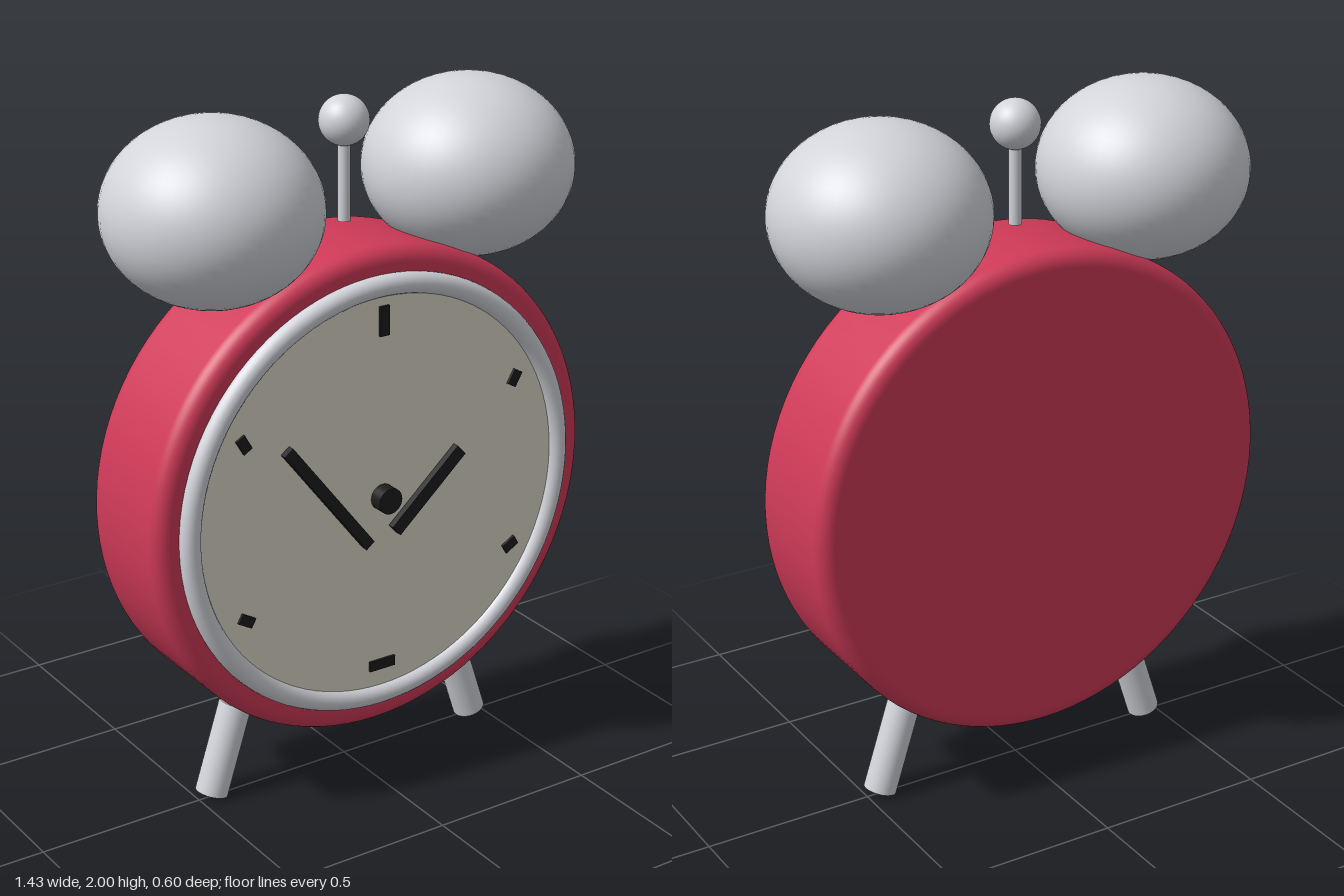
import * as THREE from 'three';

const mat = (name, color) => {
  const m = new THREE.MeshStandardMaterial({ color });
  m.name = name;
  return m;
};

export function createModel() {
  const red = mat('crimson enamel', 0xcf3a58);
  const metal = mat('silver metal', 0xd2d4da);
  const cream = mat('cream dial', 0xdedaca);
  const black = mat('black', 0x1c1c1c);
  const clock = new THREE.Group();
  clock.name = 'alarmClock';

  const add = (name, geometry, material, x, y, z, parent = clock) => {
    const mesh = new THREE.Mesh(geometry, material);
    mesh.name = name;
    mesh.position.set(x, y, z);
    parent.add(mesh);
    return mesh;
  };

  // Drum body with rounded rims, turned about the z axis
  const R = 0.715, D = 0.18, B = 0.045;
  const profile = [new THREE.Vector2(0, -D), new THREE.Vector2(R - B - 0.005, -D)];
  for (const side of [-1, 1]) {
    for (let i = 0; i <= 8; i++) {
      const a = (side < 0 ? i / 8 - 1 : i / 8) * Math.PI / 2;
      profile.push(new THREE.Vector2(R - B + B * Math.cos(a), side * (D - B) + B * Math.sin(a)));
    }
  }
  profile.push(new THREE.Vector2(R - B - 0.005, D), new THREE.Vector2(0, D));
  const body = new THREE.LatheGeometry(profile, 96).rotateX(Math.PI / 2);

  // Everything on the dial is placed relative to the dial centre
  const head = new THREE.Group();
  head.name = 'head';
  head.position.y = 0.9;
  clock.add(head);
  add('body', body, red, 0, 0, 0, head);
  add('bezel', new THREE.TorusGeometry(0.615, 0.03, 20, 96), metal, 0, 0, 0.185, head);
  add('dial', new THREE.CylinderGeometry(0.61, 0.61, 0.02, 96).rotateX(Math.PI / 2), cream, 0, 0, 0.182, head);

  // Hour marks every sixty degrees
  for (let i = 0; i < 6; i++) {
    const k = i > 3 ? i - 6 : i;
    const a = k * Math.PI / 3;
    const length = i % 3 === 0 ? 0.085 : 0.047;
    const mark = add('hourMark', new THREE.BoxGeometry(0.03, length, 0.008), black,
      0.518 * Math.sin(a), 0.518 * Math.cos(a), 0.196, head);
    mark.rotation.z = -a / 2;
  }

  // Hands run between two points on the dial
  const hand = (name, x1, y1, x2, y2, width) => {
    const length = Math.hypot(x2 - x1, y2 - y1);
    const mesh = add(name, new THREE.BoxGeometry(width, length, 0.02), black,
      (x1 + x2) / 2, (y1 + y2) / 2, 0.21, head);
    mesh.rotation.z = Math.atan2(y2 - y1, x2 - x1) - Math.PI / 2;
  };
  hand('minuteHand', -0.058, -0.125, -0.323, 0.215, 0.033);
  hand('hourHand', 0.03, -0.103, 0.25, 0.093, 0.04);
  add('hub', new THREE.CylinderGeometry(0.038, 0.038, 0.045, 32).rotateX(Math.PI / 2), black, 0, 0, 0.211, head);

  // Bells and splayed legs on both sides
  for (const s of [-1, 1]) {
    const name = s > 0 ? 'left' : 'right';
    const bell = add(name + 'Bell', new THREE.SphereGeometry(0.3, 48, 32), metal, s * 0.415, 1.745, 0);
    bell.scale.y = 0.85;
    const leg = add(name + 'Leg', new THREE.CylinderGeometry(0.048, 0.048, 0.28, 32), metal, s * 0.415, 0.149, 0);
    leg.rotation.z = s * 0.314;
  }

  // Hammer between the bells
  add('hammerRod', new THREE.CylinderGeometry(0.018, 0.018, 0.25, 20), metal, 0, 1.775, 0);
  add('hammerKnob', new THREE.SphereGeometry(0.07, 32, 24), metal, 0, 1.93, 0);
  return clock;
}
